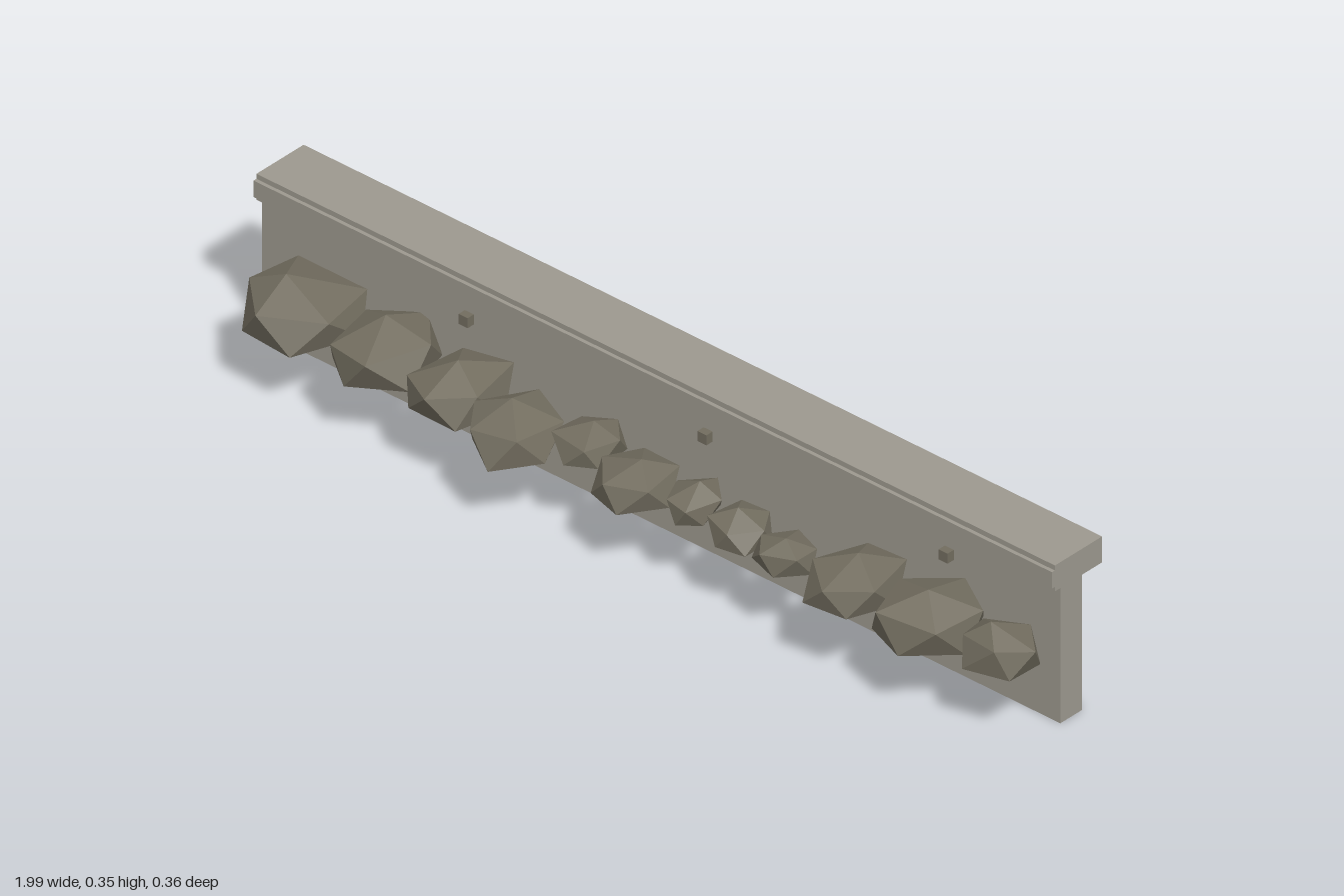
import * as THREE from 'three';
import { ConvexGeometry } from 'three/addons/geometries/ConvexGeometry.js';

const X0 = -1, X1 = 0.963;

// Wall and coping cross-section as [z, y], from the front foot over the top to the rear
const PROFILE = [
  [-0.065, 0], [-0.065, 0.297], [-0.05, 0.297], [-0.05, 0.307], [-0.042, 0.307],
  [-0.042, 0.343], [-0.05, 0.343], [-0.05, 0.354], [-0.18, 0.354], [-0.18, 0.297], [-0.125, 0.297],
];

// Boulders: x min, x max, z min, z max, y min, y max, turn
const BOULDERS = [
  [-0.94, -0.705, -0.085, 0.15, 0.107, 0.253, 0.3],
  [-0.705, -0.515, -0.085, 0.135, 0.107, 0.245, 1.0],
  [-0.52, -0.335, -0.055, 0.15, 0.12, 0.246, 0.2],
  [-0.34, -0.16, -0.02, 0.18, 0.12, 0.246, 0.7],
  [-0.17, -0.05, -0.04, 0.1, 0.15, 0.235, 1.1],
  [-0.045, 0.115, -0.02, 0.14, 0.135, 0.235, 0.5],
  [0.105, 0.21, -0.025, 0.1, 0.145, 0.23, 0.9],
  [0.225, 0.34, -0.005, 0.105, 0.145, 0.23, 0.1],
  [0.34, 0.46, 0, 0.115, 0.145, 0.225, 0.6],
  [0.485, 0.645, -0.055, 0.145, 0.13, 0.252, 0.4],
  [0.645, 0.835, -0.06, 0.14, 0.12, 0.254, 0.8],
  [0.825, 0.99, -0.03, 0.1, 0.13, 0.245, 1.2],
];

let seed = 7;
function jitter(amount) {
  seed = (seed * 16807) % 2147483647;
  return (seed / 2147483647 - 0.5) * 2 * amount;
}

// Sweeps the open profile along the length of the wall
function sweepGeometry() {
  const pos = [];
  for (let i = 0; i < PROFILE.length - 1; i++) {
    const [za, ya] = PROFILE[i], [zb, yb] = PROFILE[i + 1];
    pos.push(X0, ya, za, X1, ya, za, X1, yb, zb);
    pos.push(X0, ya, za, X1, yb, zb, X0, yb, zb);
  }
  const g = new THREE.BufferGeometry();
  g.setAttribute('position', new THREE.Float32BufferAttribute(pos, 3));
  g.computeVertexNormals();
  return g;
}

// Two poles and two staggered rings of five, roughened and fitted to a box
function boulderGeometry([x0, x1, z0, z1, y0, y1, turn]) {
  const pts = [
    new THREE.Vector3(jitter(0.15), 1, jitter(0.15)),
    new THREE.Vector3(jitter(0.15), -1, jitter(0.15)),
  ];
  for (let i = 0; i < 10; i++) {
    const a = turn + (i * Math.PI) / 5 + jitter(0.14);
    const r = 0.9 + jitter(0.1);
    const y = (i % 2 ? -0.45 : 0.45) + jitter(0.1);
    pts.push(new THREE.Vector3(r * Math.cos(a), y, r * Math.sin(a)));
  }
  const box = new THREE.Box3().setFromPoints(pts);
  const lo = new THREE.Vector3(x0, y0, z0);
  const scale = new THREE.Vector3(x1, y1, z1).sub(lo).divide(box.getSize(new THREE.Vector3()));
  pts.forEach((p) => p.sub(box.min).multiply(scale).add(lo));
  return new ConvexGeometry(pts);
}

export function createModel() {
  const model = new THREE.Group();
  const concrete = new THREE.MeshStandardMaterial({ color: 0x9d998f, side: THREE.DoubleSide });
  concrete.name = 'pale concrete';
  const stone = new THREE.MeshStandardMaterial({ color: 0x726d5f, flatShading: true });
  stone.name = 'dark stone';

  const add = (name, geometry, material, parent = model) => {
    const mesh = new THREE.Mesh(geometry, material);
    mesh.name = name;
    parent.add(mesh);
    return mesh;
  };

  // Wall shell, open at the rear and underneath
  const wall = new THREE.Group();
  wall.name = 'wall';
  model.add(wall);
  add('wallAndCoping', sweepGeometry(), concrete, wall);

  // End plates
  const outline = [...PROFILE, [-0.125, 0]].map(([z, y]) => new THREE.Vector2(-z, y));
  const endGeometry = new THREE.ShapeGeometry(new THREE.Shape(outline));
  endGeometry.rotateY(Math.PI / 2);
  add('leftEnd', endGeometry, concrete, wall).position.x = X1;
  add('rightEnd', endGeometry, concrete, wall).position.x = X0;

  // Drain stubs under the coping
  for (const x of [-0.49, 0.097, 0.69]) {
    add('drainStub', new THREE.BoxGeometry(0.022, 0.022, 0.02), stone).position.set(x, 0.255, -0.058);
  }

  // Row of boulders along the front
  const row = new THREE.Group();
  row.name = 'boulders';
  model.add(row);
  for (const b of BOULDERS) add('boulder', boulderGeometry(b), stone, row);

  return model;
}
